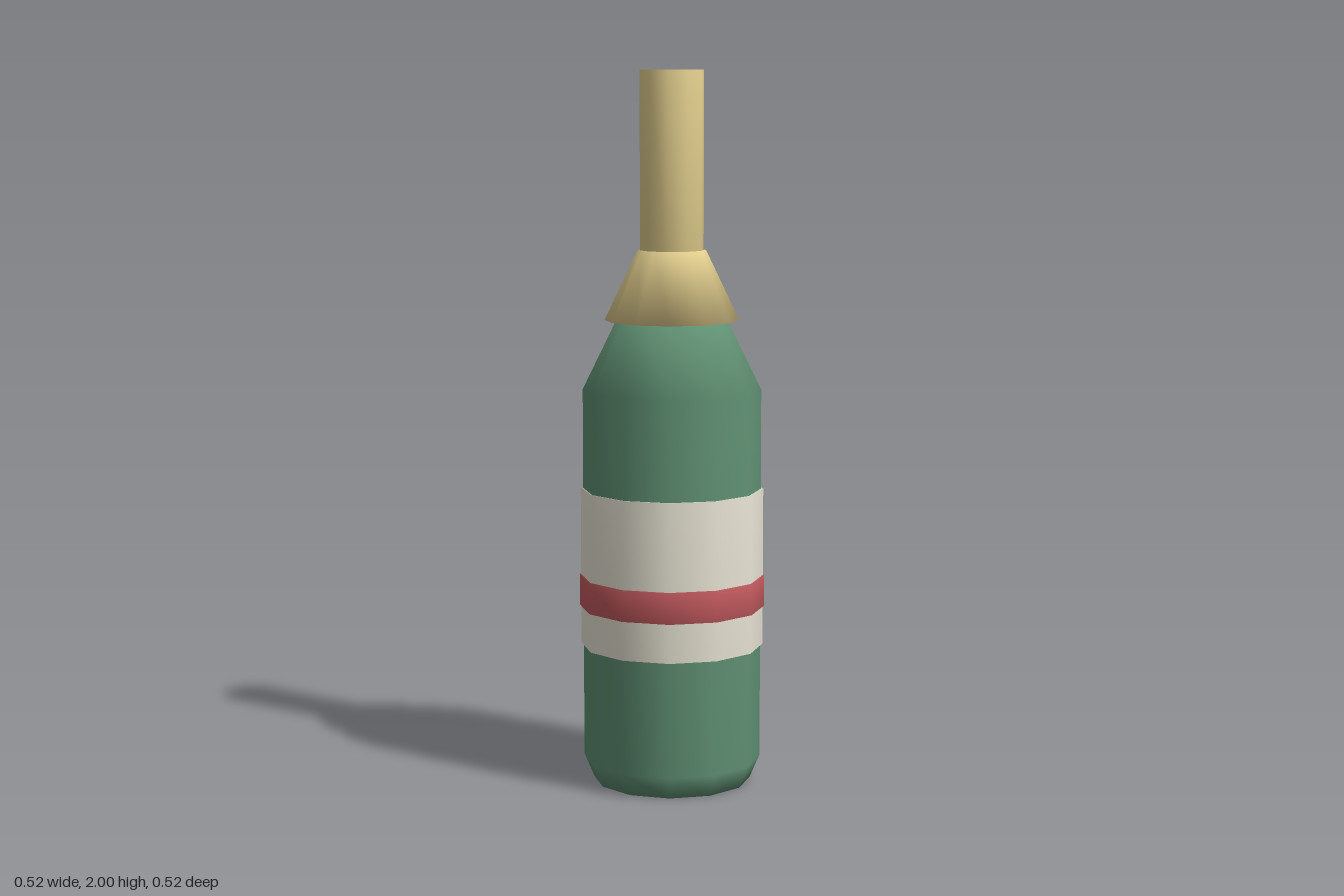
import * as THREE from 'three';

// Smooth-shaded turned part; profile points are [radius, height] from bottom to top
function turned(name, color, sides, profile) {
  const points = profile.map(([r, y]) => new THREE.Vector2(r, y));
  const material = new THREE.MeshStandardMaterial({ color, side: THREE.DoubleSide });
  const mesh = new THREE.Mesh(new THREE.LatheGeometry(points, sides), material);
  mesh.name = name;
  return mesh;
}

// Straight band wrapped around the body
function band(name, color, radius, bottom, top) {
  return turned(name, color, 12, [[0.24, bottom], [radius, bottom], [radius, top], [0.24, top]]);
}

export function createModel() {
  const model = new THREE.Group();
  model.name = 'bottle';
  const green = 0x5f8f72, gold = 0xe0cc8c, cream = 0xe8e4d4, red = 0xc25a5e;

  model.add(
    // Glass body with chamfered foot and sloping shoulder
    turned('body', green, 12, [[0, 0], [0.222, 0], [0.25, 0.065], [0.25, 1.115], [0.155, 1.31], [0, 1.31]]),
    // Paper label and its stripe
    band('label', cream, 0.257, 0.39, 0.835),
    band('labelStripe', red, 0.261, 0.5, 0.588),
    // Foil skirt flaring over the shoulder
    turned('foilSkirt', gold, 12, [[0, 1.31], [0.188, 1.31], [0.095, 1.505], [0, 1.505]]),
    // Foil-wrapped neck
    turned('neck', gold, 10, [[0, 1.45], [0.09, 1.45], [0.09, 2], [0, 2]])
  );
  return model;
}
